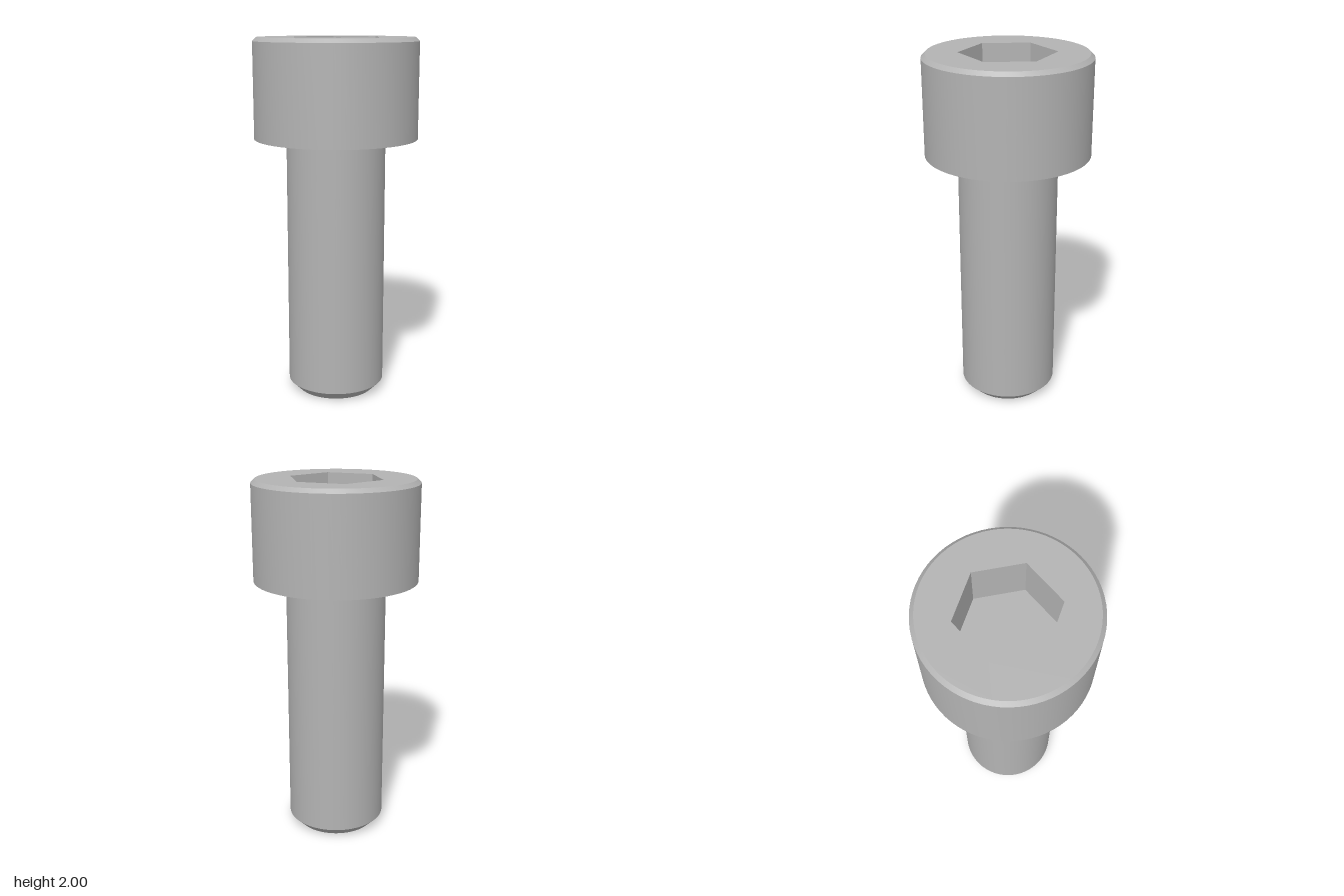
import * as THREE from 'three';
import { toCreasedNormals } from 'three/addons/utils/BufferGeometryUtils.js';

const SEGMENTS = 72;
const HEAD_R = 0.45, HEAD_TOP_R = 0.428, HEAD_BASE = 1.455, TOP = 2;
const SHANK_R = 0.273, TIP_R = 0.222;
const SOCKET_R = 0.261, SOCKET_DEPTH = 0.273;

// Revolve an [r, y] profile, keeping the profile corners sharp
function revolve(points, segments = SEGMENTS, crease = 0.35) {
  const profile = points.map(([r, y]) => new THREE.Vector2(r, y));
  return toCreasedNormals(new THREE.LatheGeometry(profile, segments, Math.PI / 2), crease);
}

// Corners of a regular polygon with one corner on +x
function ring(radius, count) {
  return Array.from({ length: count }, (_, i) => {
    const a = (i / count) * Math.PI * 2;
    return new THREE.Vector2(Math.cos(a) * radius, Math.sin(a) * radius);
  });
}

export function createModel() {
  const model = new THREE.Group();
  model.name = 'socketHeadBolt';
  const steel = new THREE.MeshStandardMaterial({ color: 0xb3b3b3 });
  steel.name = 'steel grey';

  const add = (name, geometry) => {
    const mesh = new THREE.Mesh(geometry, steel);
    mesh.name = name;
    model.add(mesh);
  };

  // Shank with chamfered tip
  add('shank', revolve([[0, 0], [TIP_R, 0], [SHANK_R, 0.051], [SHANK_R, HEAD_BASE]]));

  // Head: underside, side wall and top chamfer
  add('head', revolve([
    [SHANK_R, HEAD_BASE], [HEAD_R, HEAD_BASE], [HEAD_R, TOP - 0.021], [HEAD_TOP_R, TOP],
  ]));

  // Flat top face around the hexagonal opening
  const face = new THREE.Shape(ring(HEAD_TOP_R, SEGMENTS));
  face.holes.push(new THREE.Path(ring(SOCKET_R, 6)));
  add('headTop', new THREE.ShapeGeometry(face).rotateX(-Math.PI / 2).translate(0, TOP, 0));

  // Hexagonal socket: inward walls and flat floor
  const floor = TOP - SOCKET_DEPTH;
  add('hexSocket', revolve([[SOCKET_R, TOP], [SOCKET_R, floor], [0, floor]], 6, 0.1));

  return model;
}
